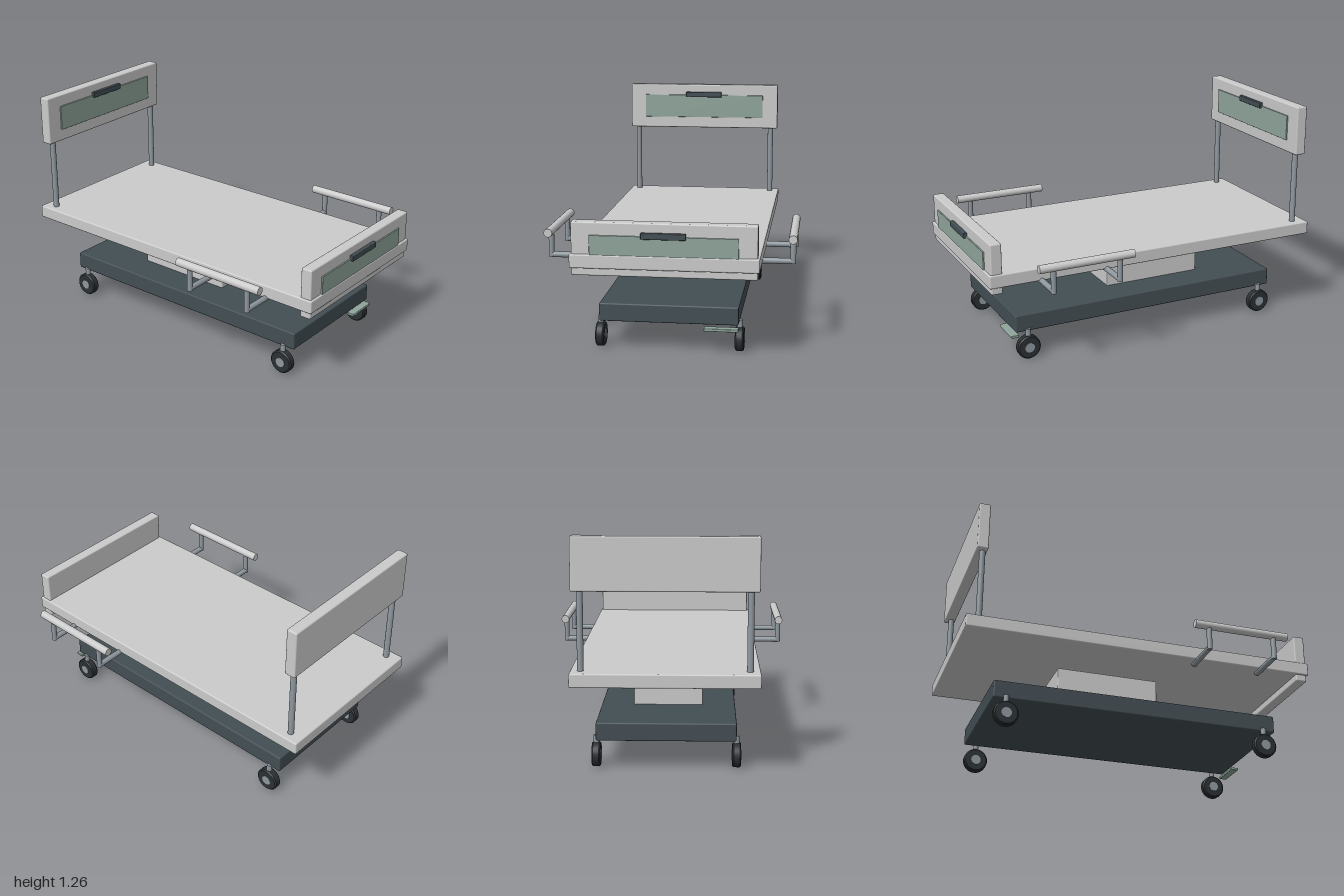
import * as THREE from 'three';
import { RoundedBoxGeometry } from 'three/addons/geometries/RoundedBoxGeometry.js';

const paint = (color) => new THREE.MeshStandardMaterial({ color });
const shell = paint(0xcdcfcb);
const green = paint(0x8fa59b);
const dark = paint(0x434e54);
const steel = paint(0x8f989f);
const rubber = paint(0x2b3033);

// Softly bevelled box given by its extents along each axis
function box(name, mat, [x0, x1], [y0, y1], [z0, z1], r = 0.006) {
  const mesh = new THREE.Mesh(new RoundedBoxGeometry(x1 - x0, y1 - y0, z1 - z0, 2, r), mat);
  mesh.position.set((x0 + x1) / 2, (y0 + y1) / 2, (z0 + z1) / 2);
  mesh.name = name;
  return mesh;
}

// Round bar between two points
function bar(name, mat, from, to, r) {
  const a = new THREE.Vector3(...from), b = new THREE.Vector3(...to);
  const dir = b.clone().sub(a);
  const mesh = new THREE.Mesh(new THREE.CylinderGeometry(r, r, dir.length(), 24), mat);
  mesh.position.copy(a).add(b).multiplyScalar(0.5);
  mesh.quaternion.setFromUnitVectors(new THREE.Vector3(0, 1, 0), dir.normalize());
  mesh.name = name;
  return mesh;
}

// End board with an inset panel and a grip on its front face
function endBoard(name, y, z) {
  const g = new THREE.Group();
  g.name = name;
  g.add(
    box('board', shell, [-0.48, 0.48], [0, 0.282], [-0.064, 0], 0.008),
    box('panel', green, [-0.384, 0.384], [0.069, 0.214], [-0.004, 0.008], 0.002),
    box('grip', dark, [-0.116, 0.116], [0.201, 0.234], [-0.002, 0.021], 0.004),
  );
  g.position.set(0, y, z);
  return g;
}

// Caster with stem, tyre and hub
function caster(x, z) {
  const g = new THREE.Group();
  g.name = 'caster';
  g.add(bar('stem', steel, [0, 0.08, 0], [0, 0.172, 0], 0.015));
  const profile = [[0, -0.023], [0.06, -0.023], [0.067, -0.016], [0.067, 0.016], [0.06, 0.023], [0, 0.023]];
  // Doubled profile corners keep the edges of the tyre crisp
  const points = profile.flatMap(([r, h], i) => {
    const p = new THREE.Vector2(r, h);
    return i === 0 || i === profile.length - 1 ? [p] : [p, p.clone().addScalar(1e-5)];
  });
  const tyre = new THREE.Mesh(new THREE.LatheGeometry(points, 28), rubber);
  tyre.name = 'tyre';
  tyre.rotation.z = Math.PI / 2;
  tyre.position.y = 0.067;
  g.add(tyre, bar('hub', steel, [-0.026, 0.067, 0], [0.026, 0.067, 0], 0.028));
  g.position.set(x, 0, z);
  return g;
}

// Side rail carried by two bent arms
function sideRail(side) {
  const g = new THREE.Group();
  g.name = side > 0 ? 'leftSideRail' : 'rightSideRail';
  const x = side * 0.648;
  for (const z of [0.313, 0.697]) {
    g.add(
      bar('arm', steel, [side * 0.42, 0.487, z], [x, 0.487, z], 0.016),
      bar('upright', steel, [x, 0.475, z], [x, 0.61, z], 0.015),
    );
  }
  g.add(bar('handrail', shell, [x, 0.62, 0.23], [x, 0.62, 0.78], 0.023));
  return g;
}

export function createModel() {
  const bed = new THREE.Group();
  bed.name = 'hospitalBed';

  // Base, lifting column and deck
  bed.add(
    box('base', dark, [-0.372, 0.372], [0.157, 0.256], [-0.81, 0.81], 0.008),
    box('liftColumn', shell, [-0.192, 0.192], [0.25, 0.46], [-0.412, 0.172]),
    box('deck', shell, [-0.49, 0.49], [0.488, 0.562], [-1, 0.99], 0.008),
    box('brakePedal', green, [0.19, 0.372], [0.127, 0.143], [0.79, 0.835], 0.004),
  );

  // End boards
  bed.add(endBoard('headboard', 0.976, -0.896), endBoard('footboard', 0.449, 0.979));

  // Mirrored parts
  for (const side of [-1, 1]) {
    bed.add(bar('headboardPost', steel, [side * 0.435, 0.55, -0.922], [side * 0.435, 0.99, -0.922], 0.017));
    bed.add(sideRail(side));
    for (const z of [-0.74, 0.74]) bed.add(caster(side * 0.374, z));
  }
  return bed;
}
